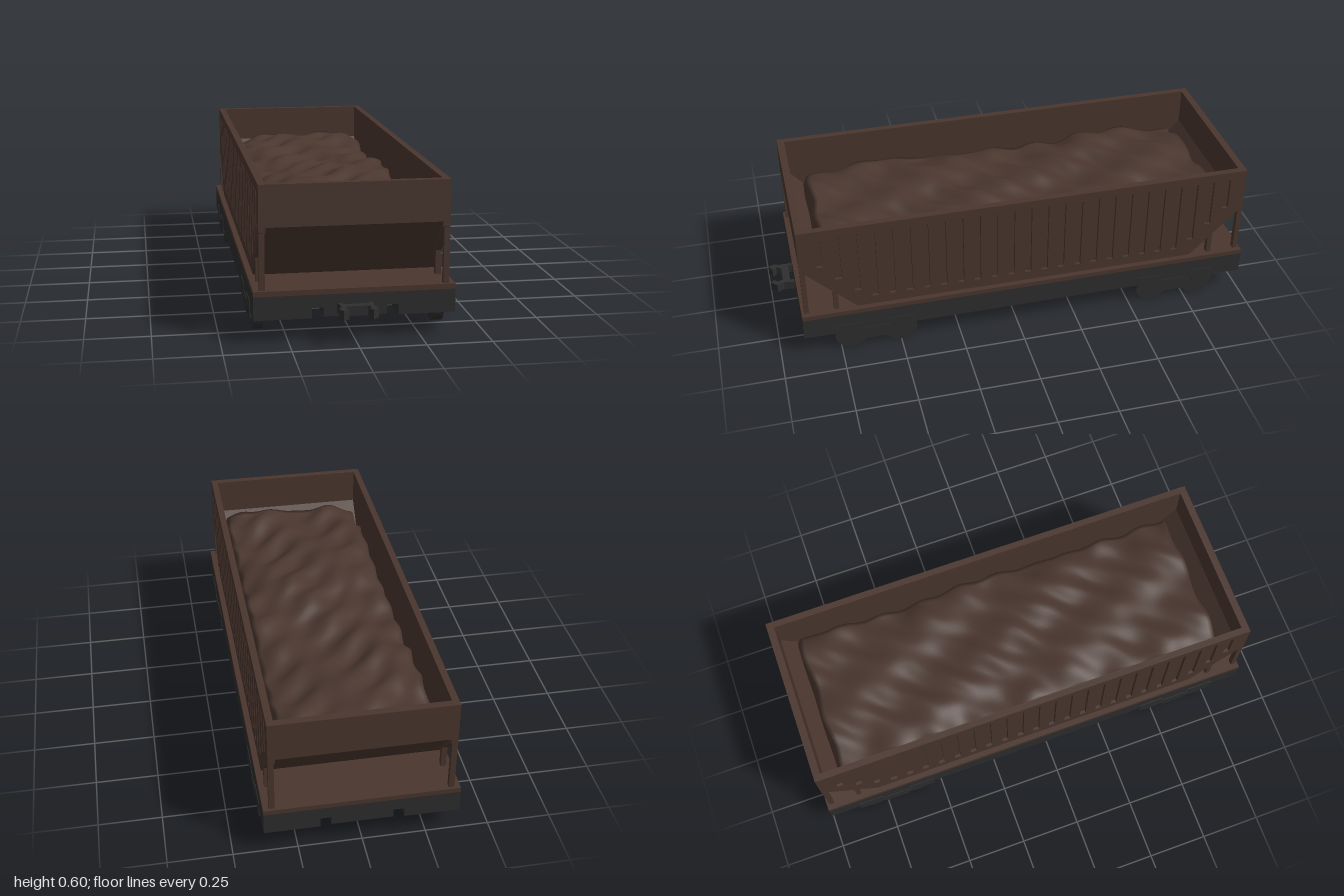
import * as THREE from 'three';

const MID = -0.05; // lengthwise centre of the car body

export function createModel() {
  const car = new THREE.Group();
  car.name = 'hopperWagon';
  const mat = (name, color, side = THREE.FrontSide) => {
    const m = new THREE.MeshStandardMaterial({ color, side });
    m.name = name;
    return m;
  };
  const brown = mat('brownPaint', 0x4a362e);
  const ore = mat('oreLoad', 0x4a372f, THREE.DoubleSide);
  const steel = mat('darkSteel', 0x2e2e2e);

  const add = (name, geo, material, x = 0, y = 0, z = 0, parent = car) => {
    const m = new THREE.Mesh(geo, material);
    m.name = name;
    m.position.set(x, y, z);
    parent.add(m);
    return m;
  };
  const poly = (pts) => new THREE.Shape(pts.map(([a, b]) => new THREE.Vector2(a, b)));
  // extrudes a (z, y) outline sideways, centred on x = 0
  const sideways = (shape, width) =>
    new THREE.ExtrudeGeometry(shape, { depth: width, bevelEnabled: false, curveSegments: 8 })
      .translate(0, 0, -width / 2).rotateY(-Math.PI / 2);

  // underframe with two grooves along its underside
  const frame = poly([[-0.38, 0.18], [-0.38, 0.09], [-0.163, 0.09], [-0.163, 0.13], [-0.12, 0.13], [-0.12, 0.095],
    [0.12, 0.095], [0.12, 0.13], [0.163, 0.13], [0.163, 0.09], [0.38, 0.09], [0.38, 0.18]]);
  add('underframe', new THREE.ExtrudeGeometry(frame, { depth: 1.9, bevelEnabled: false }), steel, 0, 0, -1);
  add('deck', new THREE.BoxGeometry(0.76, 0.02, 1.9), brown, 0, 0.19, MID);

  // hopper sides: inner sheet and an outer sheet with recessed slots
  const outline = [[-0.94, 0.597], [-0.94, 0.417], [-0.72, 0.2], [0.72, 0.2], [0.94, 0.417], [0.94, 0.597]];
  const slotted = poly(outline);
  for (let i = -12; i <= 12; i++) {
    const z = i * 0.0715;
    const low = Math.max(0.24, 0.285 + (Math.abs(z) - 0.72) * 0.986);
    slotted.holes.push(new THREE.Path([[z - 0.013, low], [z + 0.013, low], [z + 0.013, 0.56], [z - 0.013, 0.56]]
      .map(([a, b]) => new THREE.Vector2(a, b))));
  }
  const innerGeo = sideways(poly(outline), 0.015);
  const outerGeo = sideways(slotted, 0.012);
  for (const s of [-1, 1]) {
    add('sideInnerSheet', innerGeo, brown, s * 0.3375, 0, MID);
    add('sideSlottedSheet', outerGeo, brown, s * 0.351, 0, MID);
  }

  // end panels, sloping end sheets and posts
  for (const e of [-1, 1]) {
    add('endPanel', new THREE.BoxGeometry(0.714, 0.16, 0.03), brown, 0, 0.517, MID + e * 0.925);
    const slope = poly([[0.935, 0.437], [0.72, 0.2], [0.69, 0.2], [0.91, 0.445]].map(([z, y]) => [e * z, y]));
    add('endSlopeSheet', sideways(slope, 0.668), brown, 0, 0, MID);
    for (const s of [-1, 1]) {
      add('cornerPost', new THREE.BoxGeometry(0.022, 0.25, 0.02), brown, s * 0.346, 0.32, MID + e * 0.929);
      add('innerPost', new THREE.BoxGeometry(0.022, 0.11, 0.02), brown, s * 0.346, 0.25, MID + e * 0.806);
    }
  }

  // heaped load: a bumpy sheet with its rim turned down
  const nx = 36, nz = 90;
  const load = new THREE.PlaneGeometry(0.64, 1.71, nx, nz).rotateX(-Math.PI / 2);
  const p = load.attributes.position;
  for (let i = 0; i < p.count; i++) {
    const x = p.getX(i), z = p.getZ(i);
    const col = i % (nx + 1), row = Math.floor(i / (nx + 1));
    const edge = col === 0 || col === nx || row === 0 || row === nz;
    let y = 0.468 + 0.014 * Math.sin(7 * z + 5 * x) + 0.010 * Math.sin(19 * x - 11 * z + 1)
      + 0.007 * Math.sin(31 * z + 13 * x + 2 * Math.sin(9 * x)) + 0.005 * Math.sin(43 * x + 27 * z);
    y -= 0.03 * Math.pow(Math.abs(x) / 0.32, 4);
    p.setY(i, edge ? 0.36 : y);
    if (!edge) p.setX(i, x + 0.005 * Math.sin(37 * z));
    if (!edge) p.setZ(i, z + 0.008 * Math.sin(23 * x));
  }
  load.computeVertexNormals();
  add('oreHeap', load, ore, 0, 0, MID);

  // coupler: two arms with a cross bar
  const hook = poly([[-0.073, 0.88], [-0.05, 0.88], [-0.05, 0.917], [0.048, 0.917], [0.048, 0.88], [0.072, 0.88],
    [0.06, 0.945], [0.073, 0.975], [0.05, 1.0], [0.036, 0.985], [0.05, 0.968], [0.04, 0.948],
    [-0.04, 0.948], [-0.05, 0.968], [-0.037, 0.985], [-0.06, 1.0], [-0.075, 0.975], [-0.06, 0.945]]);
  add('coupler', new THREE.ExtrudeGeometry(hook, { depth: 0.037, bevelEnabled: false }).rotateX(Math.PI / 2),
    steel, 0, 0.145, 0);

  // bogies: two wheels between a pair of side plates
  const wheelGeo = new THREE.CylinderGeometry(0.07, 0.07, 0.041, 20).rotateZ(Math.PI / 2);
  const hubGeo = new THREE.CylinderGeometry(0.022, 0.022, 0.056, 10).rotateZ(Math.PI / 2);
  const plate = poly([[-0.17, 0.13], [-0.06, 0.13], [-0.06, 0.1], [0.06, 0.1], [0.06, 0.13], [0.17, 0.13],
    [0.17, 0.06], [0.125, 0.06], [0.115, 0.09], [0.08, 0.09], [0.05, 0.042],
    [-0.05, 0.042], [-0.08, 0.09], [-0.115, 0.09], [-0.125, 0.06], [-0.17, 0.06]]);
  const plateGeo = sideways(plate, 0.008);
  for (const s of [-1, 1]) {
    for (const zc of [0.603, -0.703]) {
      const bogie = new THREE.Group();
      bogie.name = 'bogie';
      bogie.position.set(s * 0.35, 0, zc);
      car.add(bogie);
      for (const w of [-0.102, 0.102]) {
        add('wheel', wheelGeo, steel, 0, 0.07, w, bogie);
        add('wheelHub', hubGeo, steel, 0, 0.075, w, bogie);
      }
      for (const d of [-0.0275, 0.0275]) add('bogieSidePlate', plateGeo, steel, d + s * 0.0005 + (d * s > 0 ? s * 0.0005 : 0), 0, 0, bogie);
      add('bogieCrossBlock', new THREE.BoxGeometry(0.05, 0.045, 0.07), steel, 0, 0.072, 0, bogie);
    }
  }
  return car;
}
